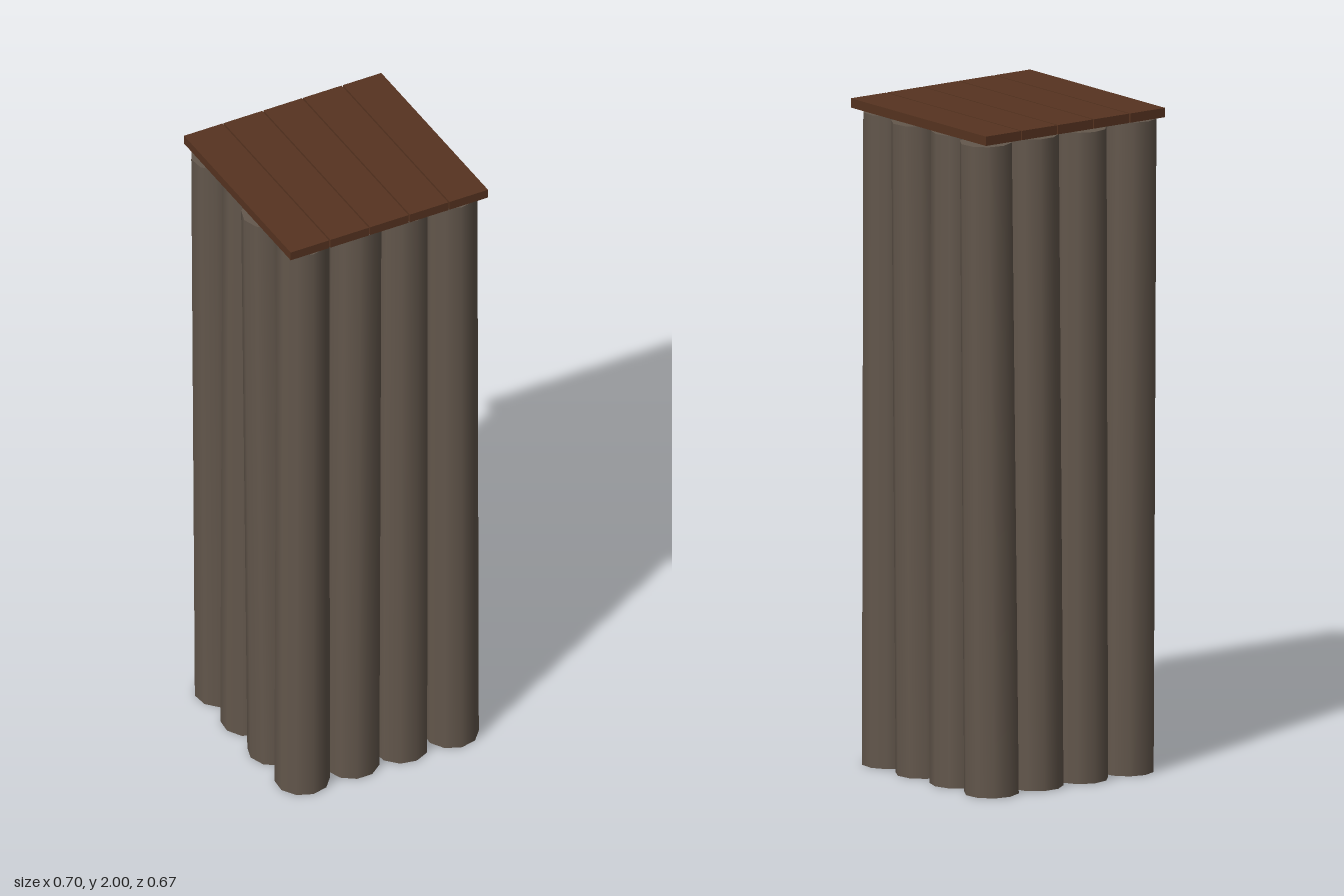
import * as THREE from 'three';

export function createModel() {
  const model = new THREE.Group();
  const bark = new THREE.MeshStandardMaterial({ color: 0x63574c });
  bark.name = 'weathered log';
  const wood = new THREE.MeshStandardMaterial({ color: 0x563320 });
  wood.name = 'dark plank';

  const add = (name, geometry, material, x, y, z) => {
    const mesh = new THREE.Mesh(geometry, material);
    mesh.name = name;
    mesh.position.set(x, y, z);
    model.add(mesh);
    return mesh;
  };

  // Upright logs around the perimeter: base x, base z, top lean in x and z
  const logs = [
    [-0.249, 0.252, 0.002, 0.0], [-0.083, 0.25, 0.011, 0.0],
    [0.08, 0.25, 0.006, 0.0], [0.246, 0.254, 0.0, 0.0],
    [-0.249, 0.084, -0.024, -0.002], [0.246, 0.088, 0.017, 0.005],
    [-0.249, -0.082, 0.002, 0.0], [0.246, -0.08, 0.002, -0.003],
    [-0.249, -0.246, -0.019, 0.005], [-0.082, -0.246, 0.011, -0.014],
    [0.084, -0.246, 0.015, -0.004], [0.246, -0.246, 0.025, -0.006],
  ];
  const up = new THREE.Vector3(0, 1, 0);
  const logGeometry = new THREE.CylinderGeometry(0.078, 0.082, 1.96, 10);
  logs.forEach(([x, z, leanX, leanZ], i) => {
    const log = add('log', logGeometry, bark, x + leanX / 2, 0.985, z + leanZ / 2);
    const axis = new THREE.Vector3(leanX, 1.96, leanZ).normalize();
    log.quaternion.setFromUnitVectors(up, axis);
    log.rotateY(i * 2.3 + 0.55);
  });

  // Solid core hidden between the logs, ending below the roof
  add('core', new THREE.BoxGeometry(0.33, 1.79, 0.33), bark, -0.002, 0.905, 0.003);

  // Roof planks running front to back
  const plankGeometry = new THREE.BoxGeometry(0.128, 0.028, 0.66);
  for (let i = -2; i <= 2; i++) {
    add('roofPlank', plankGeometry, wood, i * 0.1325 - 0.002, 1.986, 0.003);
  }

  return model;
}
